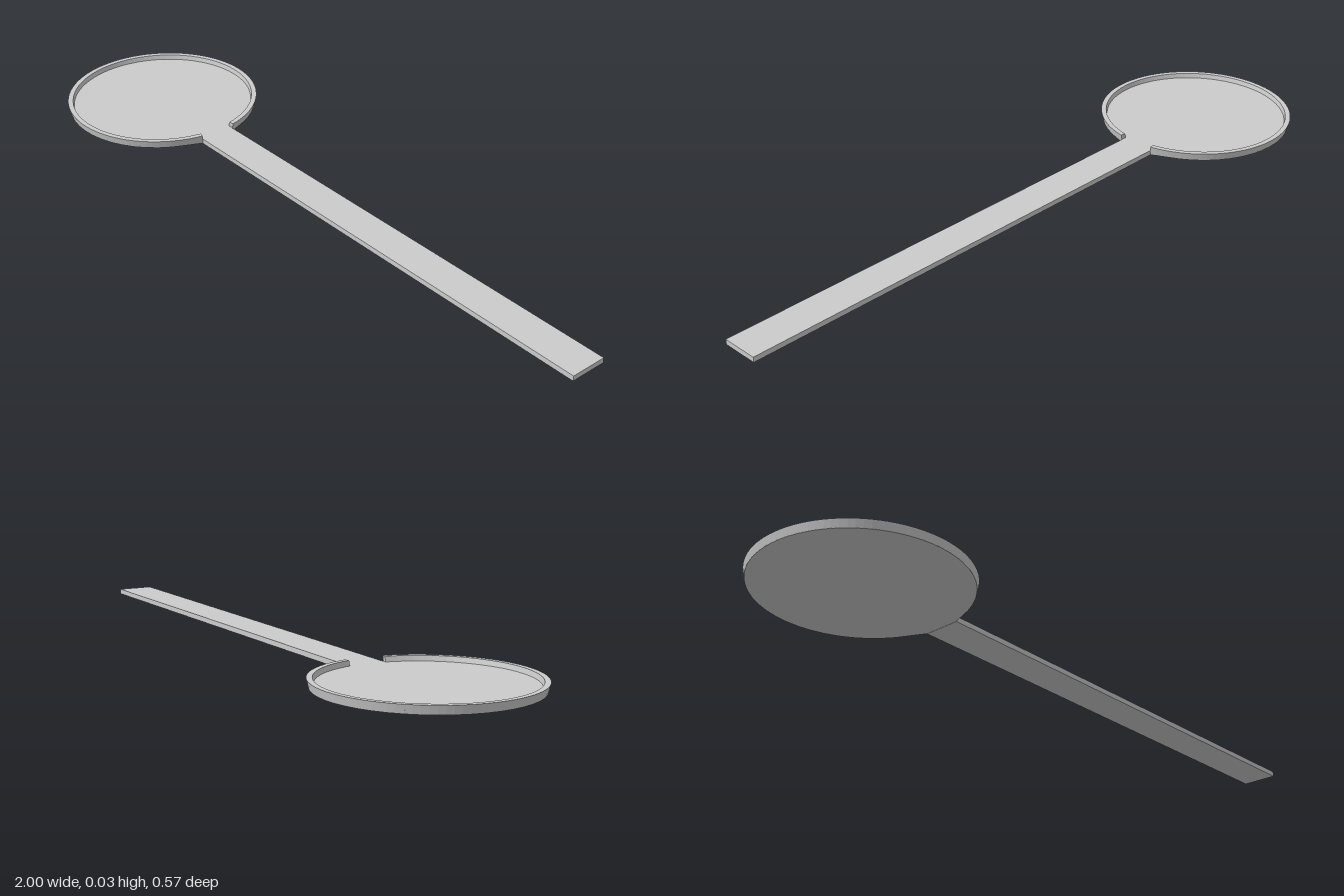
import * as THREE from 'three';
import { ConvexGeometry } from 'three/addons/geometries/ConvexGeometry.js';

const DISC_X = -0.714, R_TOP = 0.287, R_BOTTOM = 0.282, R_INNER = 0.272;
const FLOOR_TOP = 0.015, UNDERSIDE = 0.006, RIM_TOP = 0.029;
const HANDLE_HALF = 0.053, SIDES = 48;

export function createModel() {
  const model = new THREE.Group();
  const material = new THREE.MeshStandardMaterial({ color: 0xcccccc, flatShading: true });
  const add = (name, geometry) => {
    const mesh = new THREE.Mesh(geometry, material);
    mesh.name = name;
    model.add(mesh);
    return mesh;
  };

  // Round pan floor, its underside dipping slightly towards the handle root
  const points = [];
  for (let i = 0; i < SIDES; i++) {
    const a = (i / SIDES) * Math.PI * 2;
    for (const [y, r] of [[UNDERSIDE, R_BOTTOM], [FLOOR_TOP, R_BOTTOM + 0.002]]) {
      points.push(new THREE.Vector3(r * Math.cos(a), y, r * Math.sin(a)));
    }
  }
  for (const z of [-HANDLE_HALF, HANDLE_HALF]) points.push(new THREE.Vector3(0.275, 0, z));
  add('panFloor', new ConvexGeometry(points)).position.x = DISC_X;

  // Raised rim, open where the handle joins and flaring slightly upwards
  const gap = Math.asin(0.056 / R_TOP);
  const section = new THREE.Shape();
  section.absarc(0, 0, R_TOP, gap, Math.PI * 2 - gap, false);
  section.absarc(0, 0, R_INNER, Math.PI * 2 - gap, gap, true);
  section.closePath();
  const rim = new THREE.ExtrudeGeometry(section, {
    depth: RIM_TOP - UNDERSIDE, bevelEnabled: false, curveSegments: SIDES - 3,
  });
  rim.rotateX(-Math.PI / 2);
  const p = rim.attributes.position;
  const taper = R_BOTTOM / R_TOP;
  for (let i = 0; i < p.count; i++) {
    if (p.getY(i) < 0.01) p.setXYZ(i, p.getX(i) * taper, p.getY(i) + 0.0005, p.getZ(i) * taper);
  }
  rim.computeVertexNormals();
  add('rim', rim).position.set(DISC_X, UNDERSIDE, 0);

  // Long flat handle, level with the pan floor
  const start = DISC_X + 0.276;
  add('handle', new THREE.BoxGeometry(1 - start, FLOOR_TOP, HANDLE_HALF * 2))
    .position.set((1 + start) / 2, FLOOR_TOP / 2, 0);

  return model;
}
